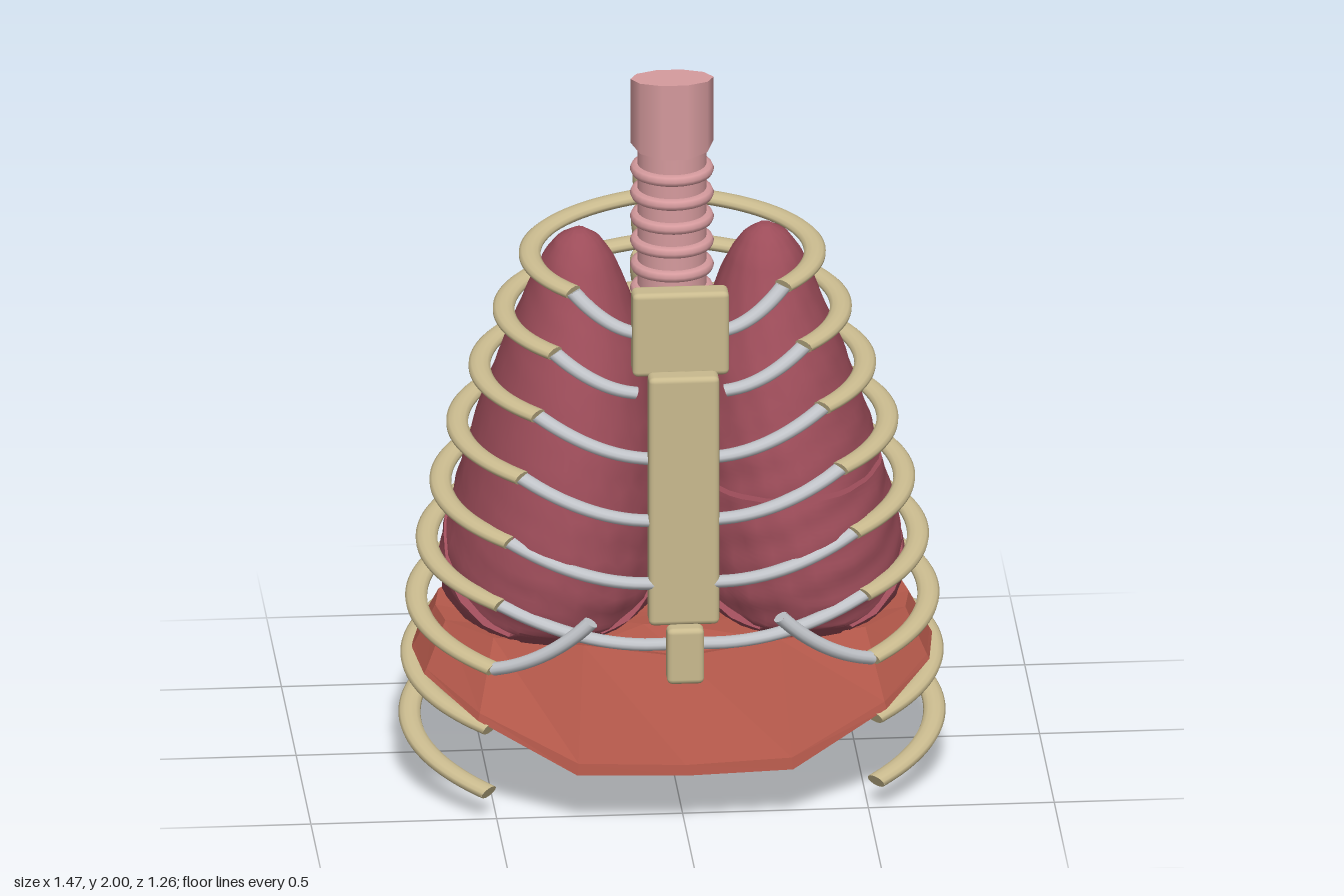
import * as THREE from 'three';
import { toCreasedNormals } from 'three/addons/utils/BufferGeometryUtils.js';
import { RoundedBoxGeometry } from 'three/addons/geometries/RoundedBoxGeometry.js';

const V = (x, y, z) => new THREE.Vector3(x, y, z);
const mat = (color, extra = {}) => new THREE.MeshStandardMaterial({ color, ...extra });
const bone = mat(0xc9ba8e), cartilage = mat(0xc0c3c8), lungMat = mat(0x9c4c59);
const airway = mat(0xd69b9e), muscle = mat(0xb5594b, { flatShading: true, side: THREE.DoubleSide });
const ZC = 0.14; // depth of the chest axis

function add(parent, name, geometry, material, x = 0, y = 0, z = 0) {
  const mesh = new THREE.Mesh(geometry, material);
  mesh.name = name;
  mesh.position.set(x, y, z);
  parent.add(mesh);
}

// Tube with closed ends, flattened in height by squash
function addTube(parent, name, points, radius, squash, material, segments = 40) {
  const curve = new THREE.CatmullRomCurve3(points.map(p => V(p.x, p.y / squash, p.z)));
  const part = new THREE.Group();
  part.name = name;
  add(part, name + 'Shaft', new THREE.TubeGeometry(curve, segments, radius, 12).scale(1, squash, 1), material);
  for (const t of [0, 1]) {
    const p = curve.getPoint(t), dir = curve.getTangent(t).multiplyScalar(t ? 1 : -1);
    const cap = new THREE.CircleGeometry(radius, 12).lookAt(dir).translate(p.x, p.y, p.z);
    add(part, name + 'End', cap.scale(1, squash, 1), material);
  }
  parent.add(part);
}

// Lung cross-sections: y, outer x, inner x, front z, back z
const sections = [
  [0.465, 0.50, 0.17, 0.40, -0.10], [0.485, 0.58, 0.10, 0.47, -0.18], [0.525, 0.615, 0.05, 0.515, -0.225],
  [0.60, 0.628, 0.03, 0.54, -0.245], [0.70, 0.612, 0.025, 0.54, -0.25], [0.80, 0.585, 0.025, 0.525, -0.24],
  [1.00, 0.53, 0.03, 0.475, -0.215], [1.20, 0.46, 0.06, 0.40, -0.14], [1.40, 0.38, 0.125, 0.29, -0.03],
  [1.48, 0.345, 0.16, 0.245, 0.03], [1.53, 0.31, 0.195, 0.20, 0.08], [1.555, 0.265, 0.235, 0.155, 0.125],
];

function lungPoint(side, u, y) {
  let i = 0;
  while (i < sections.length - 2 && y > sections[i + 1][0]) i++;
  const A = sections[i], B = sections[i + 1];
  const t = THREE.MathUtils.clamp((y - A[0]) / (B[0] - A[0]), 0, 1);
  const [xo, xi, zf, zb] = [1, 2, 3, 4].map(k => A[k] + (B[k] - A[k]) * t);
  const round = v => Math.sign(v) * Math.abs(v) ** 1.03;
  const bump = 1 + 0.014 * Math.sin(11 * u + 21 * y) * Math.sin(46 * y - 5 * u);
  return V(side * ((xo + xi) / 2 + (xo - xi) / 2 * round(Math.cos(u)) * bump), y,
    (zf + zb) / 2 + (zf - zb) / 2 * round(Math.sin(u)) * bump);
}

// Piece of a lung between two height rules floor(z) and ceiling(z)
function lobe(side, floor, ceiling) {
  const N = 48, M = 36, C = 8, wall = Array.from({ length: M + 1 }, () => []);
  for (let i = 0; i <= N; i++) {
    const u = side * (i % N) / N * Math.PI * 2;
    const [lo, hi] = [floor, ceiling].map(rule => {
      let y = rule(ZC);
      for (let k = 0; k < 12; k++) y = rule(lungPoint(side, u, y).z);
      return y;
    });
    wall.forEach((row, j) => row.push(lungPoint(side, u, lo + (hi - lo) * (1 - Math.cos(Math.PI * j / M)) / 2)));
  }
  // Caps shrink the edge inwards while following the height rule
  const cap = (edge, rule) => {
    const mid = V(0, 0, 0);
    for (let i = 0; i < N; i++) mid.addScaledVector(edge[i], 1 / N);
    return Array.from({ length: C }, (_, k) => edge.map(p => {
      const q = mid.clone().lerp(p, k / C);
      return q.setY(rule(q.z));
    }));
  };
  const rows = [...cap(wall[0], floor), ...wall, ...cap(wall[M], ceiling).reverse()];
  return toCreasedNormals(loft(rows), 0.8);
}

// Surface through rows of points
function loft(rows) {
  const n = rows[0].length, index = [];
  for (let j = 0; j < rows.length - 1; j++) {
    for (let i = 0; i < n - 1; i++) {
      const a = j * n + i, b = a + 1, d = a + n, c = d + 1;
      index.push(a, d, c, a, c, b);
    }
  }
  const g = new THREE.BufferGeometry().setFromPoints(rows.flat());
  g.setIndex(index);
  g.computeVertexNormals();
  return g;
}

export function createModel() {
  const model = new THREE.Group();
  model.name = 'ribCage';

  // Spine: eleven vertebrae with rear processes
  const spineZ = [-0.23, -0.275, -0.32, -0.36, -0.393, -0.42, -0.445, -0.463, -0.475, -0.477, -0.475];
  const body = [[0, -0.048], [0.066, -0.048], [0.072, -0.036], [0.077, 0], [0.077, 0.034], [0.07, 0.048], [0, 0.048]];
  const vertebra = toCreasedNormals(new THREE.LatheGeometry(body.map(p => new THREE.Vector2(...p)), 16), 0.9);
  spineZ.forEach((z, i) => {
    const y = 1.54 - i * 0.1475;
    add(model, 'vertebra', vertebra, bone, 0, y, z);
    add(model, 'spinousProcess', new THREE.BoxGeometry(0.045, 0.055, 0.12), bone, 0, y - 0.0375, z - 0.095);
  });

  // Breastbone in three plates
  add(model, 'manubrium', new RoundedBoxGeometry(0.26, 0.24, 0.07, 2, 0.015), bone, 0, 1.36, 0.418);
  add(model, 'sternumBody', new RoundedBoxGeometry(0.19, 0.715, 0.065, 2, 0.015), bone, 0, 0.922, 0.53);
  add(model, 'xiphoid', new RoundedBoxGeometry(0.1, 0.16, 0.055, 2, 0.015), bone, 0, 0.495, 0.588);

  // Nine rib pairs: half-width, half-depth, drop towards the front
  const ribs = [
    [0.383, 0.28, 0.08], [0.453, 0.33, 0.09], [0.518, 0.375, 0.105], [0.578, 0.415, 0.12], [0.623, 0.445, 0.145],
    [0.66, 0.475, 0.165], [0.688, 0.50, 0.19], [0.70, 0.515, 0.215], [0.705, 0.525, 0.245],
  ];
  const joints = [[0.12, 0.41], [0.12, 0.44], [0.09, 0.5], [0.09, 0.53], [0.085, 0.54], [0.05, 0.55]];
  for (const side of [1, -1]) {
    ribs.forEach(([rx, rz, drop], i) => {
      const path = [];
      for (let k = 0; k <= 24; k++) {
        const t = k / 24, a = 0.06 + t * 2.25;
        const forward = i < 7 ? 0.025 * t * t : 0;
        path.push(V(side * rx * Math.sin(a), 1.535 - 0.152 * i - drop * t, ZC - rz * Math.cos(a) + forward));
      }
      addTube(model, 'rib', path, 0.03, 0.6, bone, 56);

      // Cartilage from the rib tip to the breastbone
      const tip = path[24];
      if (i < 6) {
        const [x, z] = joints[i], end = V(side * x, tip.y - 0.1, z);
        const bend = V((tip.x + end.x) / 2, tip.y - 0.085, (tip.z + end.z) / 2 + 0.02 + 0.015 * i);
        const curve = new THREE.QuadraticBezierCurve3(tip, bend, end);
        addTube(model, 'costalCartilage', curve.getPoints(8), 0.023, 0.7, cartilage, 16);
      } else if (i === 6) {
        const curve = new THREE.QuadraticBezierCurve3(tip, V(side * 0.37, 0.48, 0.59), V(side * 0.255, 0.6, 0.605));
        addTube(model, 'costalCartilage', curve.getPoints(8), 0.022, 0.8, cartilage, 16);
      }
    });
  }

  // Lungs: both split obliquely, the left side also level
  const base = () => 0.465, apex = () => 1.555;
  const below = z => 0.775 - 0.632 * z, above = z => below(z) + 0.042;
  for (const side of [1, -1]) add(model, 'lowerLobe', lobe(side, base, z => Math.max(below(z), 0.467)), lungMat);
  add(model, 'middleLobe', lobe(1, z => Math.min(above(z), 0.882), () => 0.884), lungMat);
  add(model, 'upperLobe', lobe(1, z => Math.max(above(z), 0.898), apex), lungMat);
  add(model, 'upperLobe', lobe(-1, above, apex), lungMat);

  // Windpipe with rings, and its two branches
  add(model, 'trachea', new THREE.CylinderGeometry(0.093, 0.093, 0.79, 24), airway, 0, 1.395, ZC);
  const ring = new THREE.TorusGeometry(0.096, 0.017, 8, 28).rotateX(Math.PI / 2);
  for (let y = 1.72; y > 1.02; y -= 0.069) add(model, 'trachealRing', ring, airway, 0, y, ZC);
  for (const s of [1, -1]) {
    addTube(model, 'bronchus', [V(0, 1.05, ZC), V(s * 0.08, 0.94, ZC), V(s * 0.2, 0.84, ZC), V(s * 0.28, 0.72, 0.12)],
      0.04, 1, airway, 16);
  }

  // Larynx with slanted ends
  const larynx = new THREE.CylinderGeometry(0.112, 0.112, 0.2, 10).rotateY(Math.PI / 10);
  const p = larynx.attributes.position;
  for (let i = 0; i < p.count; i++) {
    p.setY(i, p.getY(i) > 0 ? 1.98 + 0.18 * p.getZ(i) : 1.797 - 0.12 * p.getZ(i));
  }
  add(model, 'larynx', larynx, airway, 0, 0, ZC);

  // Diaphragm: faceted dome, its rim high at the flanks and low at front and back
  // Rim over one quarter, flank to front: x, z, y
  const rim = [[0.70, 0, 0.36], [0.68, 0.16, 0.345], [0.55, 0.35, 0.28], [0.29, 0.455, 0.155], [0, 0.478, 0.155]];
  // Rings: width scale, depth scale, share of the rise, top height
  const rings = [[1, 1, 0, 0], [0.99, 0.99, 0.1, 0.48], [0.91, 0.72, 1, 0.48],
    [0.8, 0.6, 1, 0.462], [0.3, 0.3, 1, 0.46], [0, 0, 1, 0.44]];
  const dome = rings.map(([sx, sz, rise, top]) => Array.from({ length: 17 }, (_, i) => {
    const q = i % 8, [x, z, y] = rim[q > 4 ? 8 - q : q];
    const signX = i > 4 && i < 12 ? -1 : 1, signZ = i > 8 ? -1 : 1;
    const crease = i === 4 && sz > 0.3 ? 0.035 * rise : 0;
    return V(signX * x * sx, y + (top - y) * rise - crease, ZC + signZ * z * sz);
  }));
  add(model, 'diaphragm', loft(dome), muscle);

  // Folds behind the low front and back rim, gathered to a point on the midline
  for (const [first, innerZ, apexZ] of [[3, 0.42, 0.38], [11, -0.28, -0.2]]) {
    const edge = dome[0].slice(first, first + 3);
    const inner = edge.map(e => V(e.x * 0.8, e.y, innerZ));
    add(model, 'diaphragmFold', loft([edge, inner, edge.map(() => V(0, 0.365, apexZ))]), muscle);
  }

  return model;
}
